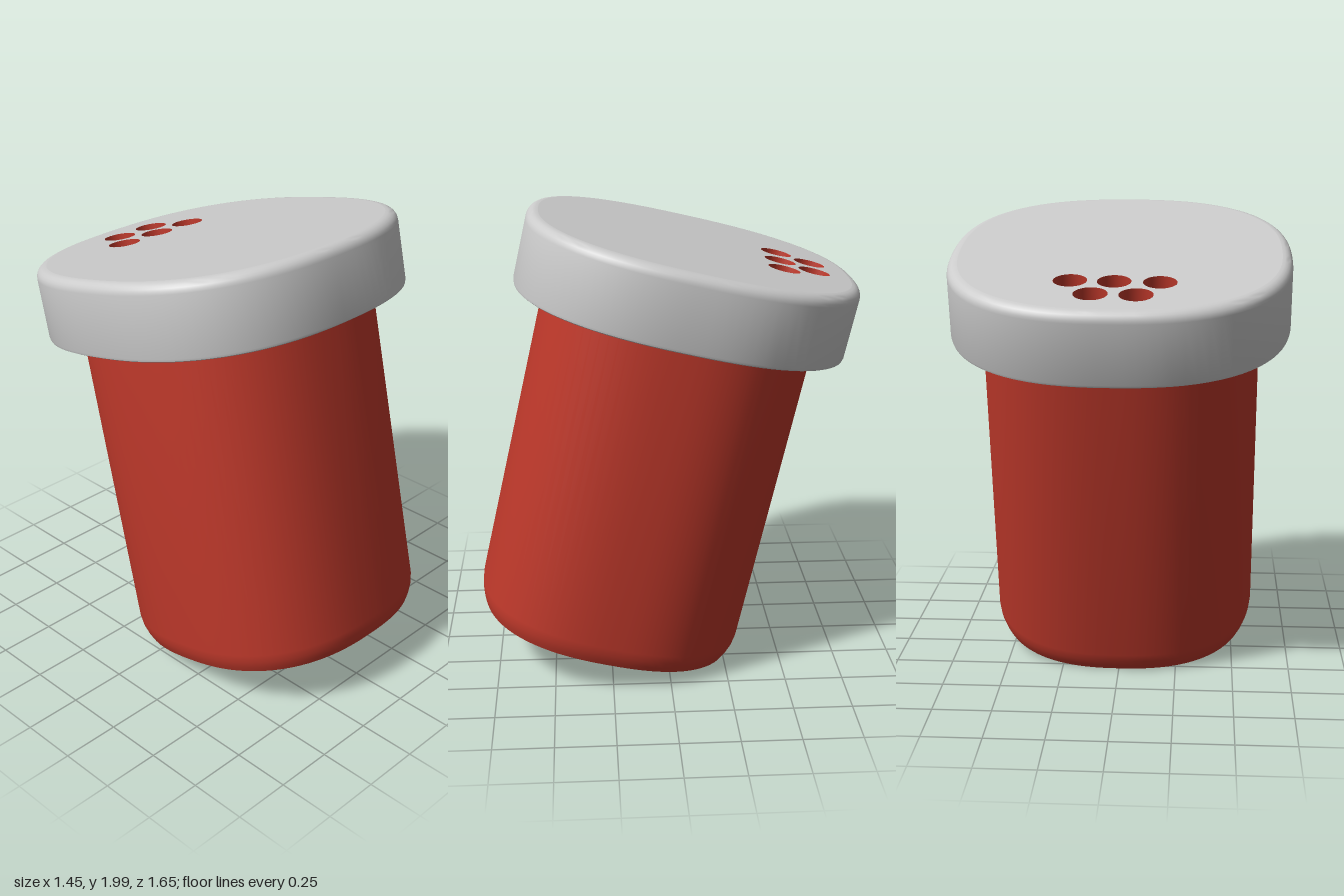
import * as THREE from 'three';
import { toCreasedNormals } from 'three/addons/utils/BufferGeometryUtils.js';

const SEGMENTS = 96;
const TILT = THREE.MathUtils.degToRad(13);
const POWER = 2.45; // squareness of the rounded-square cross-section

const red = new THREE.MeshStandardMaterial({ color: 0xc0392b });
const redInside = new THREE.MeshStandardMaterial({ color: 0xc0392b, side: THREE.DoubleSide });
const grey = new THREE.MeshStandardMaterial({ color: 0xcccccc });

// radius of the unit rounded square at an angle
function squircle(a) {
  const s = Math.abs(Math.sin(a)) ** POWER + Math.abs(Math.cos(a)) ** POWER;
  return s ** (-1 / POWER);
}

// lathe a [radius, height] profile, then push it out to a rounded square
function loft(profile) {
  const g = new THREE.LatheGeometry(profile.map(([r, y]) => new THREE.Vector2(r, y)), SEGMENTS);
  const p = g.attributes.position;
  for (let i = 0; i < p.count; i++) {
    const k = squircle(Math.atan2(p.getX(i), p.getZ(i)));
    p.setXYZ(i, p.getX(i) * k, p.getY(i), p.getZ(i) * k);
  }
  return toCreasedNormals(g, 0.55);
}

function add(parent, name, geometry, material) {
  const mesh = new THREE.Mesh(geometry, material);
  mesh.name = name;
  parent.add(mesh);
  return mesh;
}

export function createModel() {
  const model = new THREE.Group();
  model.name = 'shaker';
  const tilted = new THREE.Group();
  tilted.name = 'tiltedShaker';
  tilted.rotation.x = -TILT;
  model.add(tilted);
  const jar = new THREE.Group();
  jar.name = 'jar';
  jar.position.z = 0.287;
  tilted.add(jar);

  // body, its top closing the pouring holes
  const floorY = 1.685, topY = 1.825;
  add(jar, 'body', loft([
    [0, 0.067], [0.566, 0.067], [0.577, 0.09], [0.587, 0.12], [0.592, 0.155],
    [0.592, floorY], [0, floorY],
  ]), red);

  // lid skirt with the collar below it and a rounded upper edge
  const bevel = 0.045, lidR = 0.725;
  const profile = [[0.58, 1.487], [0.613, 1.487], [0.613, 1.51], [0.713, 1.51], [0.722, 1.515], [lidR, 1.525]];
  for (let i = 0; i <= 6; i++) {
    const a = (i / 6) * Math.PI / 2;
    profile.push([lidR - bevel + bevel * Math.cos(a), topY - bevel + bevel * Math.sin(a)]);
  }
  add(jar, 'lidSkirt', loft(profile), grey);

  // flat lid top, pierced by the pouring holes
  const rim = [];
  for (let i = 0; i < SEGMENTS; i++) {
    const a = (i / SEGMENTS) * Math.PI * 2;
    const r = (lidR - bevel) * squircle(a);
    rim.push(new THREE.Vector2(r * Math.sin(a), -r * Math.cos(a)));
  }
  const top = new THREE.Shape(rim);
  const holeR = 0.069;
  const holes = [[-0.09, -0.526], [0.09, -0.519], [-0.18, -0.388], [0.004, -0.381], [0.182, -0.374]];
  for (const [x, z] of holes) {
    const hole = new THREE.Path();
    hole.absarc(x, -z, holeR, 0, Math.PI * 2, true);
    top.holes.push(hole);
    const wall = add(jar, 'holeWall',
      new THREE.CylinderGeometry(holeR, holeR, topY - floorY, 24, 1, true), redInside);
    wall.position.set(x, (topY + floorY) / 2, z);
  }
  const lidTop = add(jar, 'lidTop', new THREE.ShapeGeometry(top, 24).rotateX(-Math.PI / 2), grey);
  lidTop.position.y = topY;

  return model;
}
